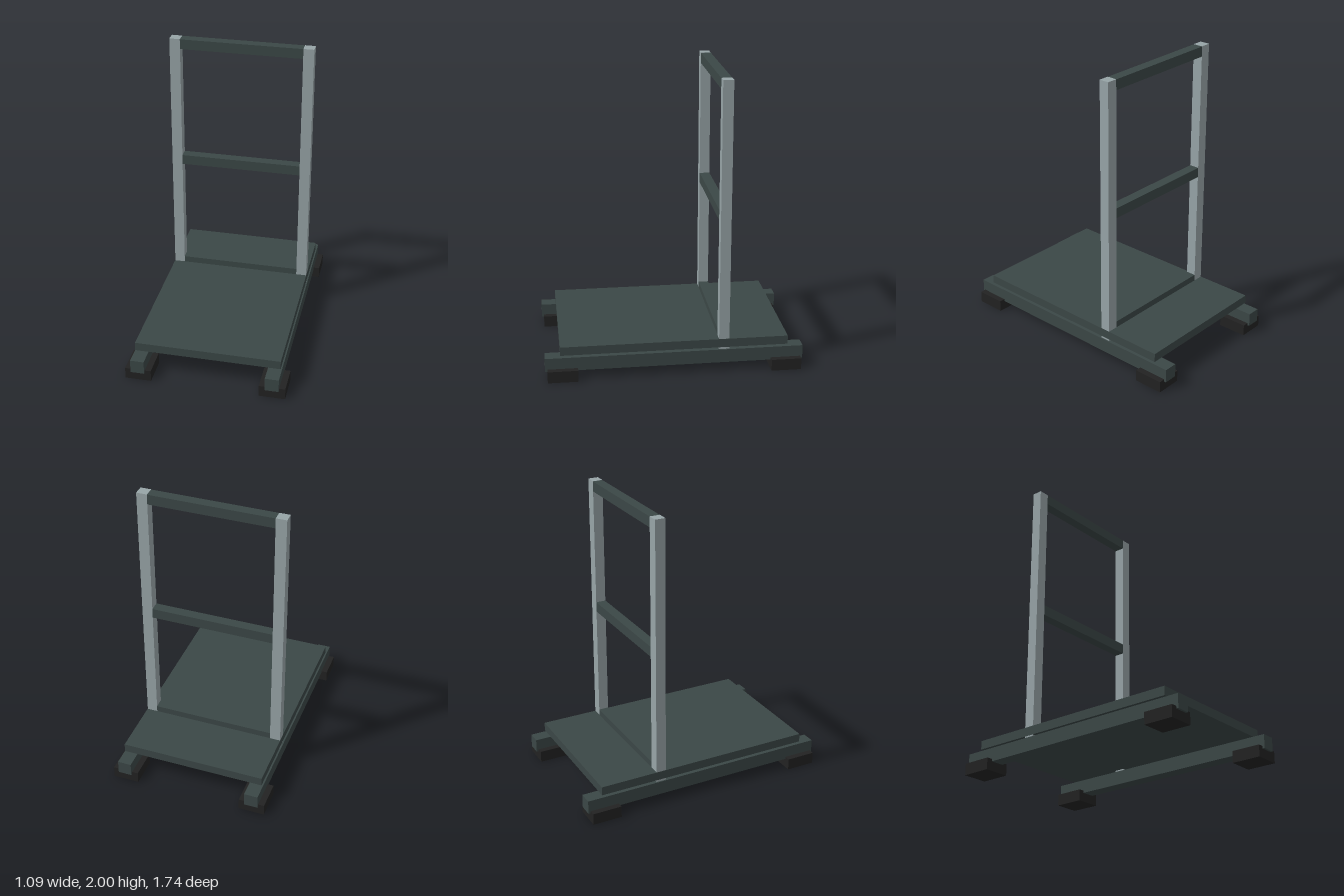
import * as THREE from 'three';

export function createModel() {
  const model = new THREE.Group();
  model.name = 'platformCart';

  const paint = (name, color) => {
    const material = new THREE.MeshStandardMaterial({ color });
    material.name = name;
    return material;
  };
  const darkSteel = paint('dark steel', 0x3b4746);
  const paleSteel = paint('pale steel', 0x97a4a7);
  const rubber = paint('black rubber', 0x222222);

  // Box given by its lower and upper limits on each axis
  const box = (name, material, [x0, x1], [y0, y1], [z0, z1]) => {
    const mesh = new THREE.Mesh(new THREE.BoxGeometry(x1 - x0, y1 - y0, z1 - z0), material);
    mesh.position.set((x0 + x1) / 2, (y0 + y1) / 2, (z0 + z1) / 2);
    mesh.name = name;
    model.add(mesh);
  };
  const span = (centre, size) => [centre - size / 2, centre + size / 2];

  // Deck, held just clear of the runners
  box('deck', darkSteel, [-0.497, 0.497], [0.172, 0.232], [-0.769, 0.769]);

  const frameZ = span(-0.333, 0.07);
  for (const [side, s] of [['left', 1], ['right', -1]]) {
    // Runner, feet and upright on each side
    box(`${side}Runner`, darkSteel, span(s * 0.457, 0.094), [0.064, 0.158], [-0.872, 0.872]);
    for (const [end, e] of [['Front', 1], ['Back', -1]]) {
      box(`${side}${end}Foot`, rubber, span(s * 0.457, 0.178), [0, 0.08], span(e * 0.755, 0.204));
    }
    box(`${side}Post`, paleSteel, span(s * 0.459, 0.073), [0.158, 2], frameZ);
  }

  // Crossbars fitted between the posts
  for (const [name, y] of [['bottomBar', 0.242], ['middleBar', 1.089], ['topBar', 1.964]]) {
    box(name, darkSteel, [-0.4225, 0.4225], span(y, 0.07), frameZ);
  }

  return model;
}
